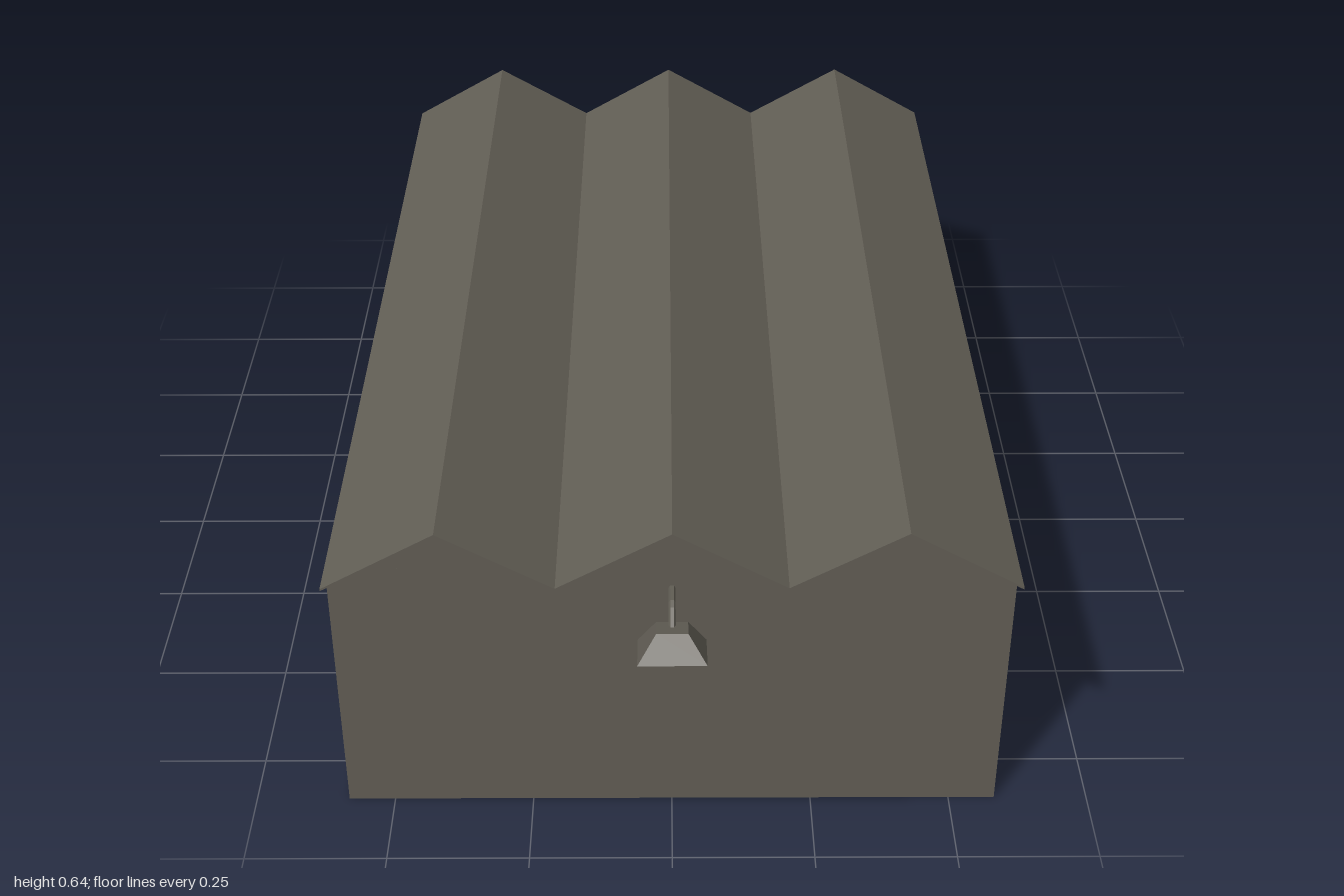
import * as THREE from 'three';

const HALF_W = 0.583, HALF_L = 0.85, ROOF_L = 0.912;
const EAVE = 0.527, RIDGE = 0.638, SHEET = 0.004, WALL = 0.02;

// Saw-tooth roof line of three equal gables, running from -x to +x
function roofLine(drop) {
  const points = [];
  for (let i = 0; i <= 6; i++) {
    points.push(new THREE.Vector2(-HALF_W + (i * HALF_W) / 3, (i % 2 ? RIDGE : EAVE) - drop));
  }
  return points;
}

function extrude(shape, depth) {
  return new THREE.ExtrudeGeometry(shape, { depth, bevelEnabled: false });
}

function rectangle(w, l) {
  return [[-w, -l], [w, -l], [w, l], [-w, l]].map(([x, y]) => new THREE.Vector2(x, y));
}

export function createModel() {
  const model = new THREE.Group();
  model.name = 'warehouse';
  const grey = new THREE.MeshStandardMaterial({ color: 0x625e55, flatShading: true, side: THREE.DoubleSide });
  grey.name = 'warm grey';

  function add(name, geometry, parent = model) {
    const mesh = new THREE.Mesh(geometry, grey);
    mesh.name = name;
    parent.add(mesh);
    return mesh;
  }

  // Hollow walls, open at the bottom
  const plan = new THREE.Shape(rectangle(HALF_W, HALF_L));
  plan.holes.push(new THREE.Path(rectangle(HALF_W - WALL, HALF_L - WALL).reverse()));
  add('walls', extrude(plan, EAVE - SHEET).rotateX(-Math.PI / 2));

  // Flat ceiling at eave height
  add('ceiling', new THREE.PlaneGeometry(2 * HALF_W - 0.002, 2 * HALF_L - 0.002)
    .rotateX(-Math.PI / 2).translate(0, EAVE - 0.002, 0));

  // Thin overhanging roof sheet
  const sheet = new THREE.Shape([...roofLine(SHEET), ...roofLine(0).reverse()]);
  add('roof', extrude(sheet, 2 * ROOF_L).translate(0, 0, -ROOF_L));

  // Mirrored ends: gable walls and a lamp on a bent arm
  for (const side of [1, -1]) {
    const end = new THREE.Group();
    end.name = side > 0 ? 'frontEnd' : 'backEnd';
    end.rotation.y = side > 0 ? 0 : Math.PI;
    model.add(end);

    for (let i = -1; i <= 1; i++) {
      const w = HALF_W / 3, x = i * 2 * w, y = EAVE - SHEET;
      const gable = new THREE.Shape([
        new THREE.Vector2(x - w, y), new THREE.Vector2(x + w, y), new THREE.Vector2(x, RIDGE - SHEET)]);
      add('gable', extrude(gable, WALL).translate(0, 0, HALF_L - WALL), end);
    }

    const path = new THREE.CurvePath();
    const bends = [[0.48, 0.845], [0.482, 0.895], [0.458, 0.932]].map(([y, z]) => new THREE.Vector3(0, y, z));
    for (let i = 0; i < 2; i++) path.add(new THREE.LineCurve3(bends[i], bends[i + 1]));
    add('lampArm', new THREE.TubeGeometry(path, 8, 0.006, 6), end);

    // Four-sided shade, open below and tipped outward
    const profile = [[0.076, 0], [0.035, 0.045], [0, 0.045]].map(([r, y]) => new THREE.Vector2(r, y));
    const shade = add('lampShade', new THREE.LatheGeometry(profile, 4)
      .rotateY(Math.PI / 4).scale(1.08, 1, 0.98), end);
    shade.rotation.x = -0.26;
    shade.position.set(0, 0.42, 0.948);
  }
  return model;
}
